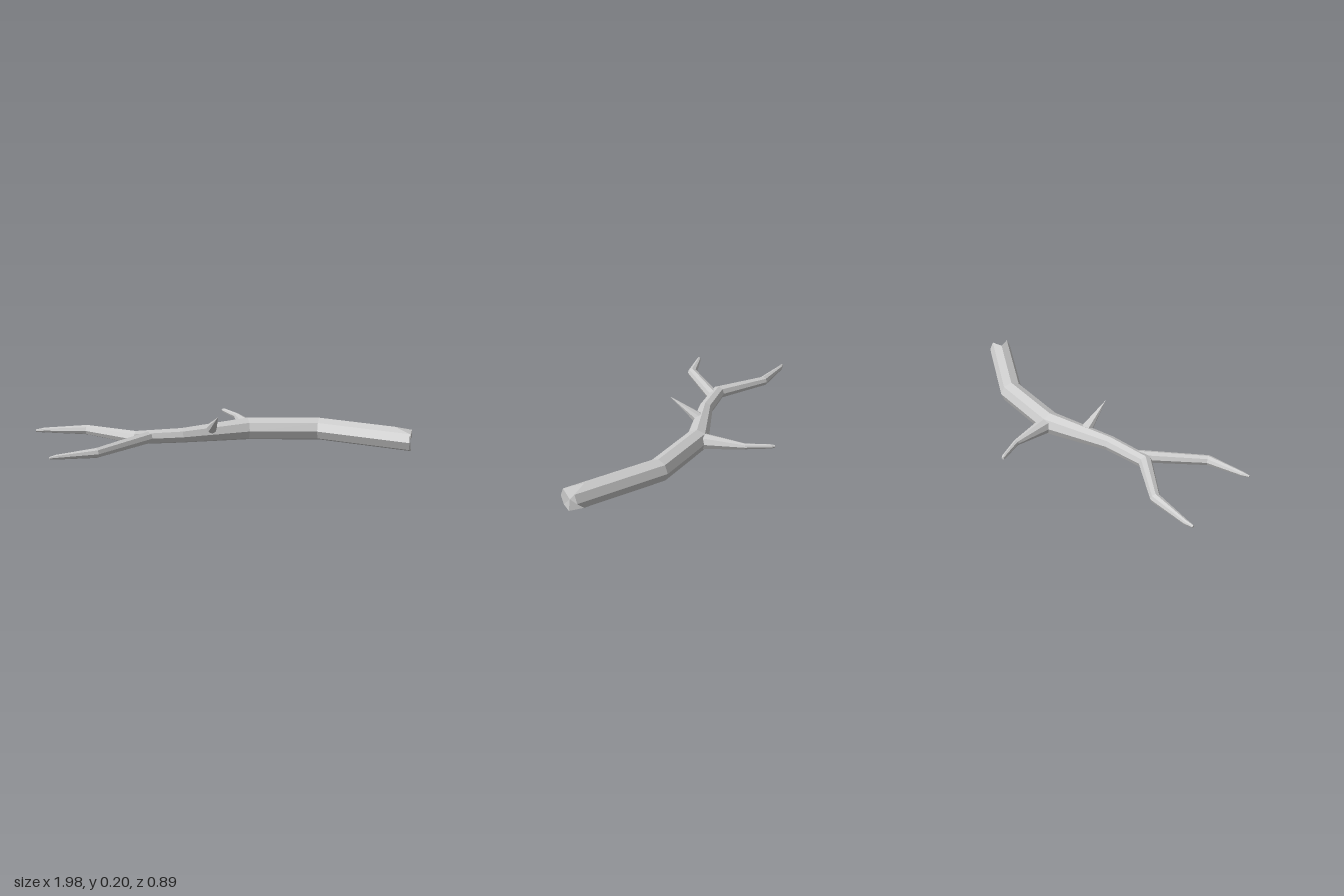
import * as THREE from 'three';

const SIDES = 8;
const AXIS_Y = 0.0625; // height of the wood's centre line

// Faceted limb swept along rings [x, z, radius, y?], mitred at the bends.
// endPull slides the vertices of the last ring along the limb (broken end).
function limb(name, rings, material, endPull = []) {
  const pts = rings.map(([x, z, , y = AXIS_Y]) => new THREE.Vector3(x, y, z));
  const pos = [];
  const index = [];
  const last = rings.length - 1;
  const up = new THREE.Vector3(0, 1, 0);

  pts.forEach((p, i) => {
    const before = pts[i].clone().sub(pts[Math.max(i - 1, 0)]).normalize();
    const after = pts[Math.min(i + 1, last)].clone().sub(p).normalize();
    const dir = before.clone().add(after).normalize();
    const side = new THREE.Vector3().crossVectors(dir, up).normalize();
    const top = new THREE.Vector3().crossVectors(side, dir);
    const miter = i > 0 && i < last ? 1 / dir.dot(after) : 1;
    for (let k = 0; k < SIDES; k++) {
      const a = (k / SIDES) * Math.PI * 2; // k = 0 is the top vertex
      const v = p.clone()
        .addScaledVector(top, Math.cos(a) * rings[i][2])
        .addScaledVector(side, Math.sin(a) * rings[i][2] * miter);
      if (i === last) v.addScaledVector(dir, endPull[k] ?? 0);
      pos.push(v.x, v.y, v.z);
    }
  });

  for (let i = 0; i < last; i++) {
    for (let k = 0; k < SIDES; k++) {
      const a = i * SIDES + k;
      const b = i * SIDES + ((k + 1) % SIDES);
      index.push(a, b, a + SIDES, b, b + SIDES, a + SIDES);
    }
  }
  // End caps as fans round the centre
  const c0 = pos.length / 3;
  pos.push(...pts[0].toArray(), ...pts[last].toArray());
  for (let k = 0; k < SIDES; k++) {
    const n = (k + 1) % SIDES;
    index.push(c0, n, k, c0 + 1, last * SIDES + k, last * SIDES + n);
  }

  const geometry = new THREE.BufferGeometry();
  geometry.setAttribute('position', new THREE.Float32BufferAttribute(pos, 3));
  geometry.setIndex(index);
  const flat = geometry.toNonIndexed();
  flat.computeVertexNormals();
  const mesh = new THREE.Mesh(flat, material);
  mesh.name = name;
  return mesh;
}

export function createModel() {
  const group = new THREE.Group();
  group.name = 'branch';
  const wood = new THREE.MeshStandardMaterial({
    color: 0xcccccc, flatShading: true, side: THREE.DoubleSide,
  });

  // Main stem: thin back twig, fork, bends, then the thick snapped end
  group.add(limb('mainStem', [
    [-0.998, -0.228, 0.007, 0.064],
    [-0.95, -0.226, 0.014, 0.065],
    [-0.72, -0.175, 0.027, 0.067],
    [-0.485, 0.038, 0.037, 0.067],
    [-0.235, 0.047, 0.041, 0.066],
    [0.15, -0.018, 0.0625],
    [0.535, 0.072, 0.0625],
    [0.945, 0.392, 0.0625],
  ], wood, [-0.085, 0.01, 0.014, 0.01, 0.008, -0.052, -0.006, -0.004]));

  // Front twig of the fork
  group.add(limb('forkTwig', [
    [-0.41, 0.045, 0.034, 0.067],
    [-0.725, 0.272, 0.027, 0.067],
    [-0.93, 0.292, 0.013, 0.065],
    [-0.968, 0.299, 0.006, 0.064],
  ], wood));

  // Side twig at the back
  group.add(limb('sideTwig', [
    [0.153, 0.0, 0.05],
    [0.153, -0.06, 0.045],
    [0.153, -0.285, 0.0165, 0.064],
    [0.112, -0.42, 0.012, 0.063],
    [0.105, -0.437, 0.007, 0.063],
  ], wood));

  // Pointed spur rising to the front
  group.add(limb('spur', [
    [-0.07, 0.03, 0.034, 0.082],
    [-0.068, 0.2, 0.001, 0.196],
  ], wood));

  return group;
}
